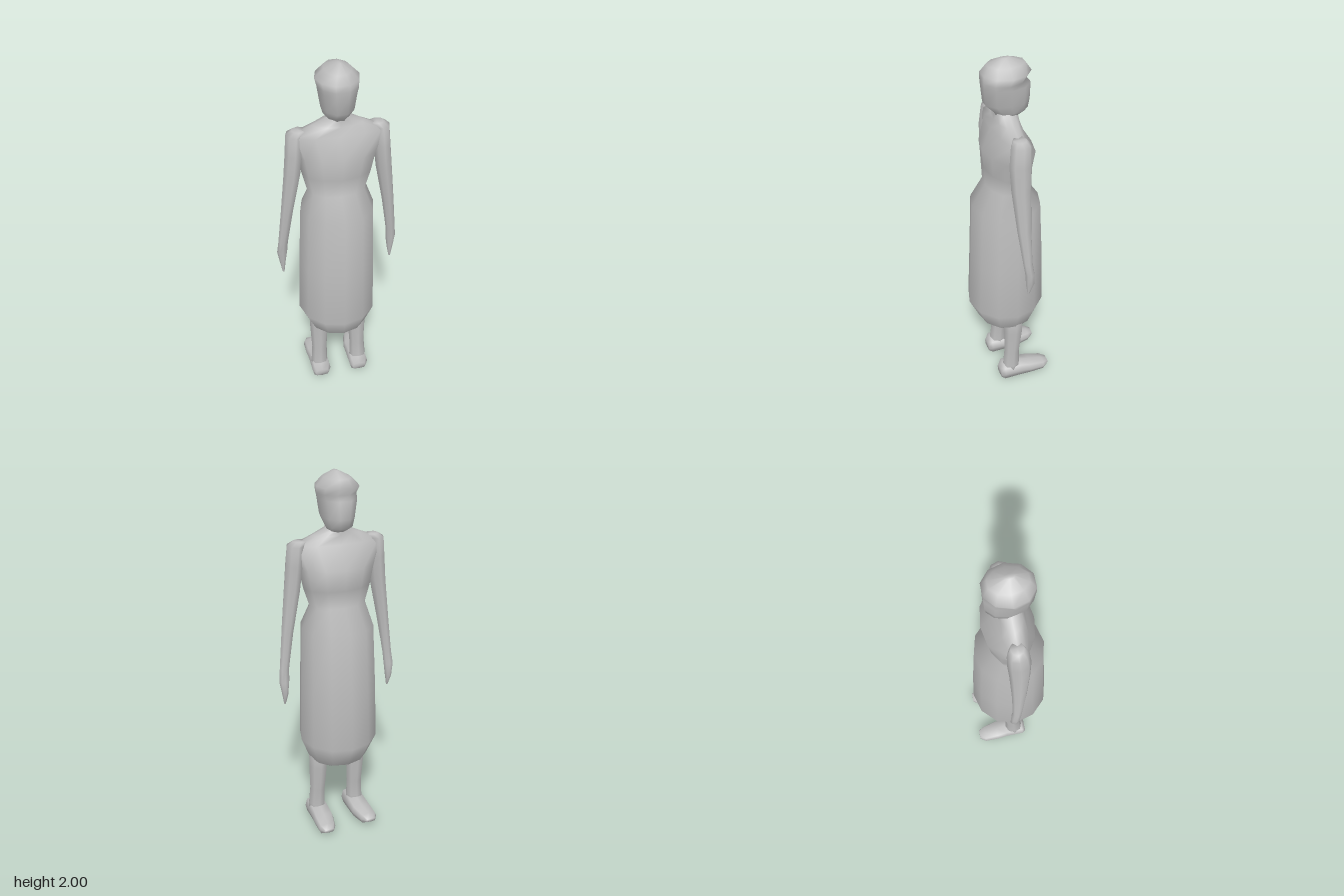
import * as THREE from 'three';

const grey = new THREE.MeshStandardMaterial({ color: 0xbdbdbd });
grey.name = 'plain grey';

// Smooth closed skin through cross-sections [t, u0, u1, v0, v1]:
// upright sections rise along y (u = x, v = z); lengthwise ones run toward -z (u = x, v = y).
function loft(name, sections, { sides = 10, power = 1, lengthwise = false, mirror = 1 } = {}) {
  const pos = [], index = [];
  const put = (u, v, t) => (lengthwise ? pos.push(u, v, t) : pos.push(u, t, v));
  const soften = (c) => Math.sign(c) * Math.abs(c) ** power;
  for (const [t, a, b, v0, v1] of sections) {
    const [u0, u1] = mirror > 0 ? [a, b] : [-b, -a];
    for (let i = 0; i < sides; i++) {
      const angle = (i / sides) * Math.PI * 2;
      put((u0 + u1) / 2 + (u1 - u0) / 2 * soften(Math.cos(angle)),
        (v0 + v1) / 2 + (v1 - v0) / 2 * soften(Math.sin(angle)), t);
    }
  }
  const last = sections.length - 1;
  const ends = [sections[0], sections[last]].map(([t, a, b, v0, v1]) => {
    put(mirror * (a + b) / 2, (v0 + v1) / 2, t);
    return pos.length / 3 - 1;
  });
  for (let i = 0; i < sides; i++) {
    const k = (i + 1) % sides;
    for (let j = 0; j < last; j++) {
      const p = j * sides, q = p + sides;
      index.push(p + i, q + i, p + k, q + i, q + k, p + k);
    }
    index.push(ends[0], i, k, ends[1], last * sides + k, last * sides + i);
  }
  const geometry = new THREE.BufferGeometry();
  geometry.setAttribute('position', new THREE.Float32BufferAttribute(pos, 3));
  geometry.setIndex(index);
  geometry.computeVertexNormals();
  const mesh = new THREE.Mesh(geometry, grey);
  mesh.name = name;
  return mesh;
}

export function createModel() {
  const figure = new THREE.Group();
  figure.name = 'figure';

  // Long dress, bodice and shoulders up to the neck
  figure.add(loft('dress', [
    [0.365, -0.09, 0.10, -0.07, 0.10],
    [0.42, -0.17, 0.16, -0.16, 0.16],
    [0.54, -0.225, 0.205, -0.21, 0.215],
    [0.85, -0.215, 0.20, -0.20, 0.20],
    [1.20, -0.20, 0.19, -0.18, 0.185],
    [1.32, -0.16, 0.145, -0.10, 0.11],
    [1.42, -0.185, 0.18, -0.12, 0.115],
    [1.53, -0.205, 0.205, -0.135, 0.125],
    [1.645, -0.25, 0.245, -0.065, 0.08],
    [1.69, -0.13, 0.13, -0.055, 0.065],
    [1.72, -0.06, 0.06, -0.055, 0.06],
    [1.75, -0.05, 0.05, -0.05, 0.06],
  ], { sides: 12 }));

  // Head, with the brow ledge over the face
  figure.add(loft('head', [
    [1.71, -0.05, 0.05, -0.065, 0.055],
    [1.735, -0.07, 0.065, -0.11, 0.07],
    [1.78, -0.085, 0.08, -0.118, 0.115],
    [1.87, -0.10, 0.095, -0.12, 0.123],
    [1.895, -0.105, 0.10, -0.095, 0.124],
    [1.93, -0.113, 0.105, -0.123, 0.123],
    [1.97, -0.07, 0.065, -0.095, 0.095],
    [2.0, -0.01, 0.015, -0.02, 0.03],
  ]));

  for (const [side, s] of [['left', 1], ['right', -1]]) {
    // Arm tapering into a pointed hand
    figure.add(loft(side + 'Arm', [
      [0.795, 0.296, 0.306, -0.02, -0.01],
      [0.86, 0.285, 0.318, -0.048, 0],
      [0.93, 0.275, 0.33, -0.045, 0.005],
      [1.0, 0.27, 0.322, -0.035, 0.015],
      [1.2, 0.238, 0.302, -0.035, 0.04],
      [1.42, 0.195, 0.28, -0.042, 0.06],
      [1.55, 0.18, 0.268, -0.05, 0.065],
      [1.65, 0.17, 0.26, -0.05, 0.055],
      [1.67, 0.16, 0.23, -0.03, 0.035],
    ], { sides: 8, mirror: s }));

    // Lower leg
    figure.add(loft(side + 'Leg', [
      [0.04, 0.065, 0.165, -0.045, 0.07],
      [0.10, 0.07, 0.165, -0.04, 0.06],
      [0.20, 0.07, 0.158, -0.04, 0.05],
      [0.36, 0.06, 0.165, -0.06, 0.052],
      [0.50, 0.06, 0.165, -0.06, 0.052],
    ], { sides: 8, mirror: s }));

    // Foot, heel to toe
    figure.add(loft(side + 'Foot', [
      [0.08, 0.075, 0.155, 0.015, 0.06],
      [0.06, 0.06, 0.17, 0, 0.10],
      [-0.04, 0.06, 0.17, 0, 0.095],
      [-0.10, 0.06, 0.175, 0.004, 0.082],
      [-0.18, 0.08, 0.175, 0.01, 0.072],
      [-0.213, 0.10, 0.155, 0.035, 0.055],
    ], { sides: 8, power: 0.6, lengthwise: true, mirror: s }));
  }
  return figure;
}
